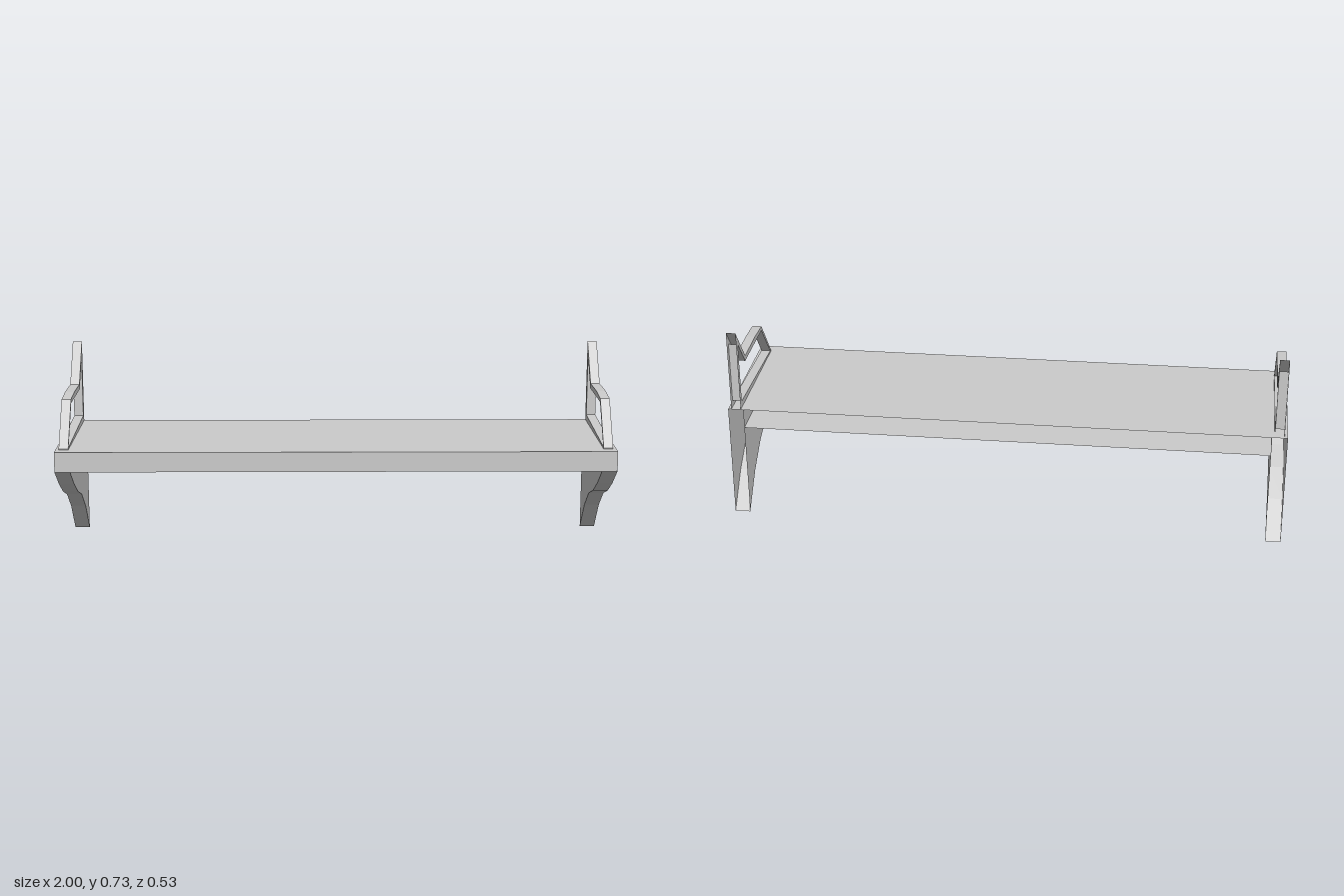
import * as THREE from 'three';

const BACK = -0.267, FRONT = 0.267, TOP = 0.422, UNDER = 0.35;
const material = new THREE.MeshStandardMaterial({
  color: 0xcccccc, flatShading: true, side: THREE.DoubleSide,
});

// Extrudes a side profile of [z, y] points along x, centred on x = 0.
// Faces lying on the wall plane are left out, as the shell is open at the back.
function openShell(outline, width, hole, keepEnds = true) {
  const toPoints = (list) => list.map(([z, y]) => new THREE.Vector2(z, y));
  const shape = new THREE.Shape(toPoints(outline));
  if (hole) shape.holes.push(new THREE.Path(toPoints(hole)));
  const solid = new THREE.ExtrudeGeometry(shape, { depth: width, bevelEnabled: false });
  solid.translate(0, 0, -width / 2).rotateY(-Math.PI / 2);

  const p = solid.attributes.position;
  const kept = [];
  for (let i = 0; i < p.count; i += 3) {
    const corners = [i, i + 1, i + 2];
    const onWall = corners.every((k) => Math.abs(p.getZ(k) - BACK) < 1e-4);
    const onEnd = corners.every((k) => Math.abs(p.getX(k) - p.getX(i)) < 1e-4);
    if (onWall || (onEnd && !keepEnds)) continue;
    for (const k of corners) kept.push(p.getX(k), p.getY(k), p.getZ(k));
  }
  const geometry = new THREE.BufferGeometry();
  geometry.setAttribute('position', new THREE.Float32BufferAttribute(kept, 3));
  geometry.computeVertexNormals();
  return geometry;
}

function addPart(group, name, geometry, x = 0) {
  const mesh = new THREE.Mesh(geometry, material);
  mesh.name = name;
  mesh.position.x = x;
  group.add(mesh);
}

export function createModel() {
  const group = new THREE.Group();
  group.name = 'wallShelf';

  const bracketWidth = 0.055;
  const railWidth = 0.034;

  // Board between the two brackets
  const board = openShell(
    [[BACK, UNDER], [FRONT, UNDER], [FRONT, TOP], [BACK, TOP]],
    2 - 2 * bracketWidth, null, false);
  addPart(group, 'shelfBoard', board);

  // Bracket with a curved underside
  const bracket = openShell([
    [BACK, 0], [-0.157, 0.115], [-0.05, 0.188], [0.055, 0.225],
    [0.16, 0.28], [FRONT, UNDER], [FRONT, TOP], [BACK, TOP],
  ], bracketWidth);

  // End rail: a stepped frame around an opening
  const rail = openShell([
    [BACK, TOP], [0.226, TOP], [0.226, 0.426], [0.105, 0.581], [0.05, 0.584],
    [0, 0.587], [-0.1, 0.585], [-0.152, 0.583], [BACK, 0.725],
  ], railWidth, [
    [0.214, 0.428], [0.101, 0.567], [-0.158, 0.565], [-0.243, 0.67], [-0.243, 0.445],
  ]);

  for (const [side, sign] of [['left', 1], ['right', -1]]) {
    addPart(group, side + 'Bracket', bracket, sign * (1 - bracketWidth / 2));
    addPart(group, side + 'Rail', rail, sign * 0.971);
  }
  return group;
}
